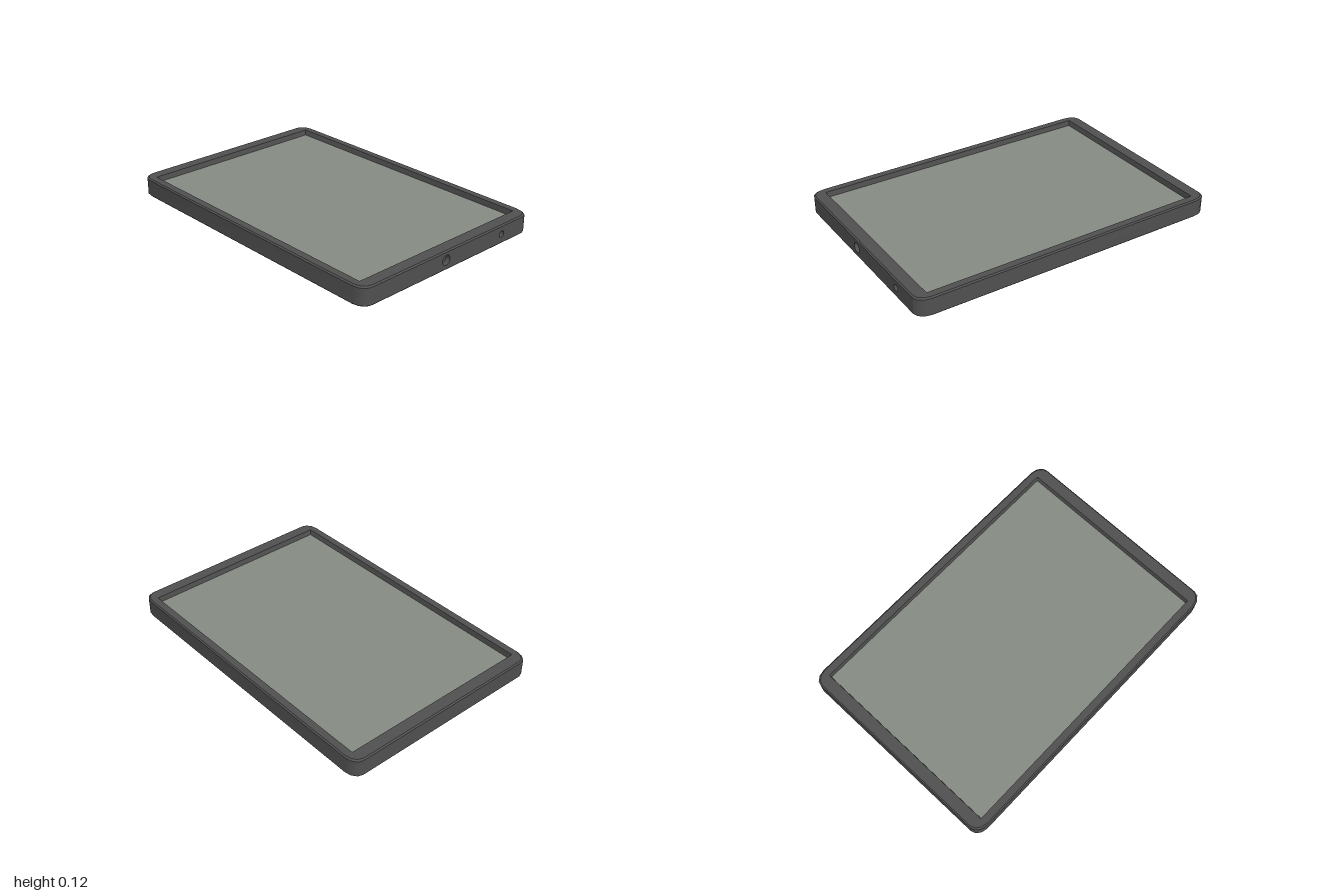
import * as THREE from 'three';
import { toCreasedNormals } from 'three/addons/utils/BufferGeometryUtils.js';

const HALF_X = 0.68, HALF_Z = 1, HEIGHT = 0.12, BEVEL = 0.008;
const CORNER_X = 0.06, CORNER_Z = 0.08, ARC = 3;
const SCREEN_Y = 0.085;

// Rounded rectangle ring at height y, four points to each corner
function ring(hx, hz, cx, cz, y) {
  const points = [];
  [[1, 1], [-1, 1], [-1, -1], [1, -1]].forEach(([sx, sz], corner) => {
    for (let i = 0; i <= ARC; i++) {
      const a = (corner + i / ARC) * Math.PI / 2;
      points.push([sx * (hx - cx) + cx * Math.cos(a), y, sz * (hz - cz) + cz * Math.sin(a)]);
    }
  });
  return points;
}

// Skin between consecutive rings; skip(level, side) leaves an opening
function loft(rings, skip) {
  const positions = [];
  for (let j = 0; j < rings.length - 1; j++) {
    const lower = rings[j], upper = rings[j + 1], n = lower.length;
    for (let i = 0; i < n; i++) {
      if (skip(j, i)) continue;
      const k = (i + 1) % n;
      positions.push(...lower[i], ...upper[i], ...lower[k]);
      positions.push(...lower[k], ...upper[i], ...upper[k]);
    }
  }
  const geometry = new THREE.BufferGeometry();
  geometry.setAttribute('position', new THREE.Float32BufferAttribute(positions, 3));
  return toCreasedNormals(geometry, 0.6);
}

export function createModel() {
  const model = new THREE.Group();
  model.name = 'tablet';

  const casing = new THREE.MeshStandardMaterial({ color: 0x505050, side: THREE.DoubleSide });
  casing.name = 'dark grey casing';
  const glass = new THREE.MeshStandardMaterial({ color: 0x868c84 });
  glass.name = 'grey green screen';

  const add = (name, geometry, material, x = 0, y = 0, z = 0) => {
    const mesh = new THREE.Mesh(geometry, material);
    mesh.name = name;
    mesh.position.set(x, y, z);
    model.add(mesh);
    return mesh;
  };

  // Casing: underside, bevelled wall, flat rim and recess wall in one skin
  const outer = (inset, y) => ring(HALF_X - inset, HALF_Z - inset, CORNER_X, CORNER_Z, y);
  const inner = (hx, hz, y) => ring(hx, hz, 0.004, 0.004, y);
  const WALL = 2, FRONT = ARC;
  add('casing', loft([
    ring(0, 0, 0, 0, 0),
    outer(BEVEL, 0),
    outer(0, BEVEL),
    outer(0, HEIGHT - BEVEL),
    outer(BEVEL, HEIGHT),
    inner(0.628, 0.92, HEIGHT),
    inner(0.622, 0.914, SCREEN_Y - 0.008),
  ], (level, side) => level === WALL && side === FRONT), casing);

  // Screen plate at the bottom of the recess
  add('screen', new THREE.BoxGeometry(1.246, 0.008, 1.83), glass, 0, SCREEN_Y - 0.004, 0);

  // Front wall with two round sockets
  const sockets = [
    { name: 'largeSocket', x: -0.045, y: 0.063, r: 0.031 },
    { name: 'smallSocket', x: 0.43, y: 0.063, r: 0.02 },
  ];
  const w = HALF_X - CORNER_X;
  const wall = new THREE.Shape([
    new THREE.Vector2(-w, BEVEL), new THREE.Vector2(w, BEVEL),
    new THREE.Vector2(w, HEIGHT - BEVEL), new THREE.Vector2(-w, HEIGHT - BEVEL),
  ]);
  const depth = 0.03;
  for (const { name, x, y, r } of sockets) {
    wall.holes.push(new THREE.Path().absarc(x, y, r, 0, Math.PI * 2, true));
    const tube = new THREE.CylinderGeometry(r, r, depth, 24, 1, true).rotateX(Math.PI / 2);
    add(name + 'Wall', tube, casing, x, y, HALF_Z - depth / 2);
    add(name + 'Floor', new THREE.CircleGeometry(r, 24), casing, x, y, HALF_Z - depth);
  }
  add('frontWall', new THREE.ShapeGeometry(wall, 12), casing, 0, 0, HALF_Z);

  return model;
}
